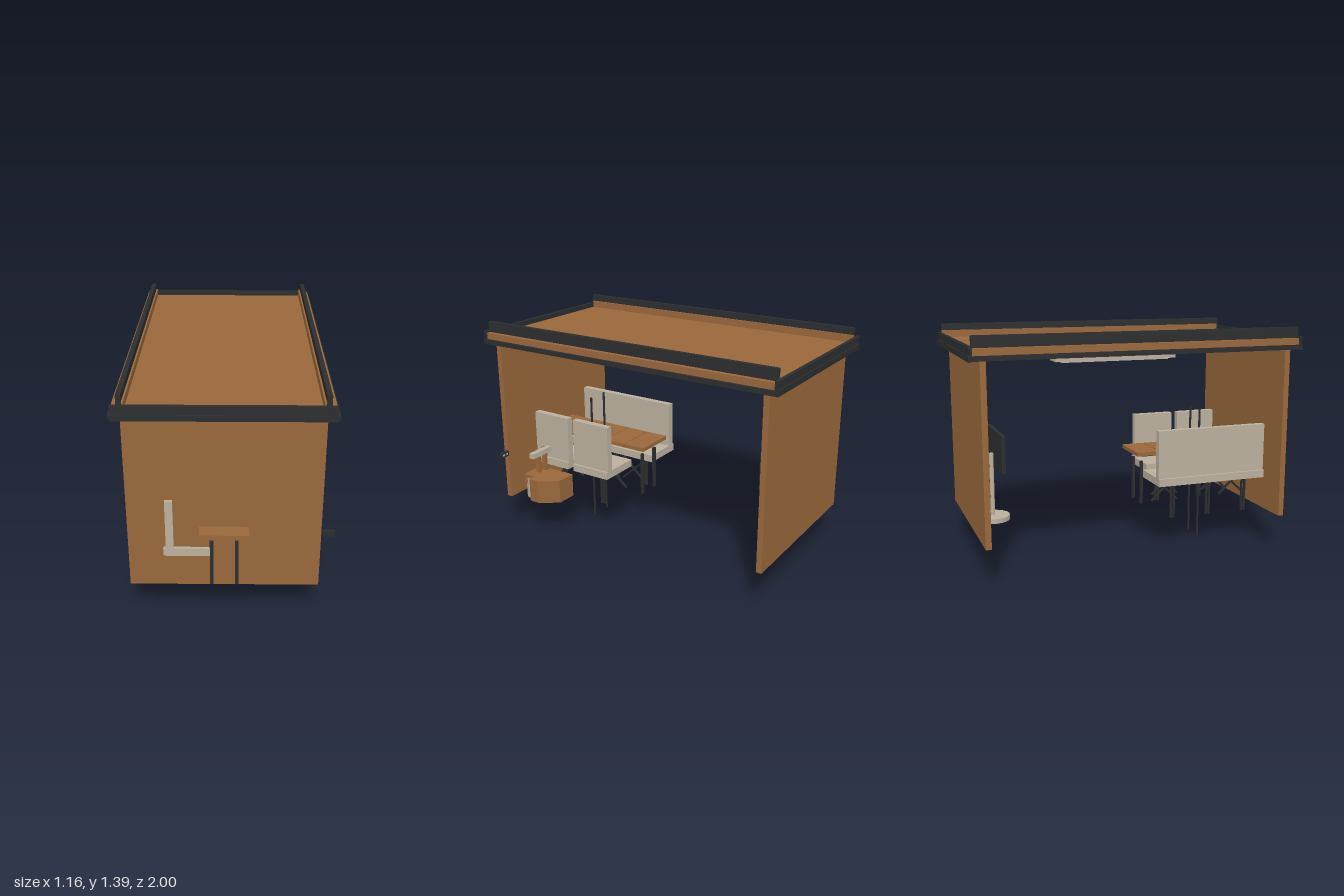
import * as THREE from 'three';

const wood = new THREE.MeshStandardMaterial({ color: 0x99683b });
wood.name = 'wood';
const dark = new THREE.MeshStandardMaterial({ color: 0x2c2d2f });
dark.name = 'dark metal';
const beige = new THREE.MeshStandardMaterial({ color: 0xbbb09e });
beige.name = 'beige';

const CX = -0.012; // mirror plane of the room
const CZ = 0.549; // middle of the seating area

export function createModel() {
  const root = new THREE.Group();
  root.name = 'meetingBooth';

  // Box given by its extents on each axis
  function box(name, mat, x0, x1, y0, y1, z0, z1) {
    const m = new THREE.Mesh(new THREE.BoxGeometry(x1 - x0, y1 - y0, z1 - z0), mat);
    m.position.set((x0 + x1) / 2, (y0 + y1) / 2, (z0 + z1) / 2);
    m.name = name;
    root.add(m);
    return m;
  }
  // The same box on both sides of the mirror plane, a..b measured outwards
  function pair(name, mat, a, b, ...rest) {
    box(name + 'Left', mat, CX + a, CX + b, ...rest);
    box(name + 'Right', mat, CX - b, CX - a, ...rest);
  }
  function cylinder(name, mat, r, y0, y1, x, z) {
    const m = new THREE.Mesh(new THREE.CylinderGeometry(r, r, y1 - y0, 32), mat);
    m.position.set(x, (y0 + y1) / 2, z);
    m.name = name;
    root.add(m);
  }
  // Slanted bar in a plane of constant x
  function brace(name, x, z0, y0, z1, y1) {
    const m = new THREE.Mesh(new THREE.BoxGeometry(0.012, 0.012, Math.hypot(z1 - z0, y1 - y0)), dark);
    m.position.set(x, (y0 + y1) / 2, (z0 + z1) / 2);
    m.rotation.x = -Math.atan2(y1 - y0, z1 - z0);
    m.name = name;
    root.add(m);
  }

  // Walls
  box('frontWall', wood, -0.53, 0.505, 0.23, 1.258, 0.88, 0.914);
  box('backWall', wood, -0.53, 0.505, 0.23, 1.258, -0.935, -0.902);

  // Roof panel, long side rails and upper beams
  box('roofPanel', wood, -0.53, 0.505, 1.288, 1.302, -0.982, 0.95);
  pair('sideBeam', wood, 0.51, 0.556, 1.284, 1.322, -0.985, 0.958);
  pair('lowerRail', dark, 0.525, 0.572, 1.257, 1.284, -0.99, 0.962);
  pair('upperBeam', dark, 0.502, 0.528, 1.322, 1.386, -0.978, 0.956);
  pair('innerLedge', wood, 0.492, 0.51, 1.302, 1.345, -0.978, 0.945);
  pair('ceilingTrack', dark, 0.24, 0.26, 1.266, 1.288, -0.97, 0.94);

  // Grooved bands across the roof ends
  for (const [name, zIn, zOut] of [['frontBand', 0.946, 0.97], ['backBand', -0.978, -0.999]]) {
    const span = (label, y0, y1, out) =>
      box(name + label, dark, -0.571, 0.546, y0, y1, Math.min(zIn, out), Math.max(zIn, out));
    span('Lower', 1.252, 1.284, zOut);
    span('Core', 1.284, 1.316, zOut - Math.sign(zOut) * 0.008);
    span('Upper', 1.316, 1.332, zOut);
  }

  // Ceiling lamp
  box('lampBody', beige, CX - 0.063, CX + 0.063, 1.18, 1.243, -0.4, 0.376);
  box('lampDiffuser', beige, CX - 0.045, CX + 0.045, 1.172, 1.18, -0.356, 0.334);

  // Table made of boards
  const boards = 6, z0 = 0.097, step = (1 - z0) / boards;
  for (let i = 0; i < boards; i++) {
    box('tableBoard', wood, -0.145, 0.12, 0.583, 0.607, z0 + i * step, z0 + (i + 1) * step - (i < boards - 1 ? 0.006 : 0));
  }
  box('tableSpine', dark, CX - 0.12, CX + 0.12, 0.577, 0.583, 0.13, 0.96);
  // Upright bars at the table ends and thin central poles
  for (const z of [0.149, 0.949]) pair('tableEndBar', dark, 0.058, 0.077, 0.262, 0.538, z - 0.008, z + 0.008);
  pair('pole', dark, 0.062, 0.072, 0, 0.845, CZ - 0.005, CZ + 0.005);

  // Crossed braces under the seating
  for (const s of [-1, 1]) {
    for (const [x, a, b] of [[CX - 0.067, 0.15, 0.33], [CX + 0.067, 0.09, 0.27]]) {
      brace('crossBrace', x, CZ + s * a, 0.268, CZ + s * b, 0.43);
      brace('crossBrace', x, CZ + s * b, 0.268, CZ + s * a, 0.43);
    }
  }

  // Bench on the right, two chairs on the left
  function seating(name, side, za, zb, legs) {
    const part = (label, mat, a, b, ya, yb, p, q) => {
      const u = CX + side * a, v = CX + side * b;
      box(name + label, mat, Math.min(u, v), Math.max(u, v), ya, yb, p, q);
    };
    part('Seat', beige, 0.063, 0.328, 0.43, 0.477, za, zb);
    part('Back', beige, 0.272, 0.314, 0.477, 0.77, za, zb);
    for (const z of legs) {
      for (const d of [-0.01, 0.01]) part('Leg', dark, 0.193, 0.205, 0.186, 0.43, z + d - 0.006, z + d + 0.006);
    }
  }
  seating('bench', -1, 0.163, 0.932, [0.307, 0.552, 0.806]);
  seating('frontChair', 1, 0.549, 0.817, [0.683]);
  seating('rearChair', 1, 0.238, 0.506, [0.372]);

  // Side stool: faceted wooden body on a round foot, with posts and a top bar
  const outline = [[0.51, 0.71], [0.51, 0.64], [0.43, 0.53], [0.3, 0.53], [0.3, 0.71]];
  const shape = new THREE.Shape(outline.map(([x, z]) => new THREE.Vector2(x, -z)));
  const geo = new THREE.ExtrudeGeometry(shape, { depth: 0.15, bevelEnabled: false });
  geo.rotateX(-Math.PI / 2);
  const body = new THREE.Mesh(geo, wood);
  body.position.y = 0.245;
  body.name = 'stoolBody';
  root.add(body);
  box('stoolShelf', wood, 0.34, 0.46, 0.335, 0.395, 0.71, 0.795);
  cylinder('stoolFoot', beige, 0.068, 0.235, 0.37, 0.397, 0.747);
  for (const x of [0.325, 0.385]) box('stoolPost', wood, x - 0.012, x + 0.012, 0.31, 0.55, 0.724, 0.75);
  box('stoolTopBar', beige, 0.31, 0.48, 0.525, 0.558, 0.69, 0.724);

  // Screen on a round-footed stand
  box('screen', dark, CX - 0.2, CX + 0.2, 0.565, 0.785, -0.768, -0.745);
  cylinder('standPole', beige, 0.013, 0.262, 0.645, -0.005, -0.787);
  cylinder('standBase', beige, 0.101, 0.235, 0.263, -0.005, -0.787);

  // Wall sockets with light inserts
  function socket(name, x, y, z, dir) {
    box(name, dark, x - 0.031, x + 0.031, y - 0.017, y + 0.017, z - 0.008, z + 0.008);
    for (const d of [-0.014, 0.014]) {
      const f = z + dir * 0.009;
      box(name + 'Insert', beige, x + d - 0.007, x + d + 0.007, y - 0.006, y + 0.006, f - 0.002, f + 0.002);
    }
  }
  socket('frontSocket', 0.55, 0.543, 0.872, -1);
  socket('backSocket', -0.31, 0.415, -0.895, 1);

  return root;
}
